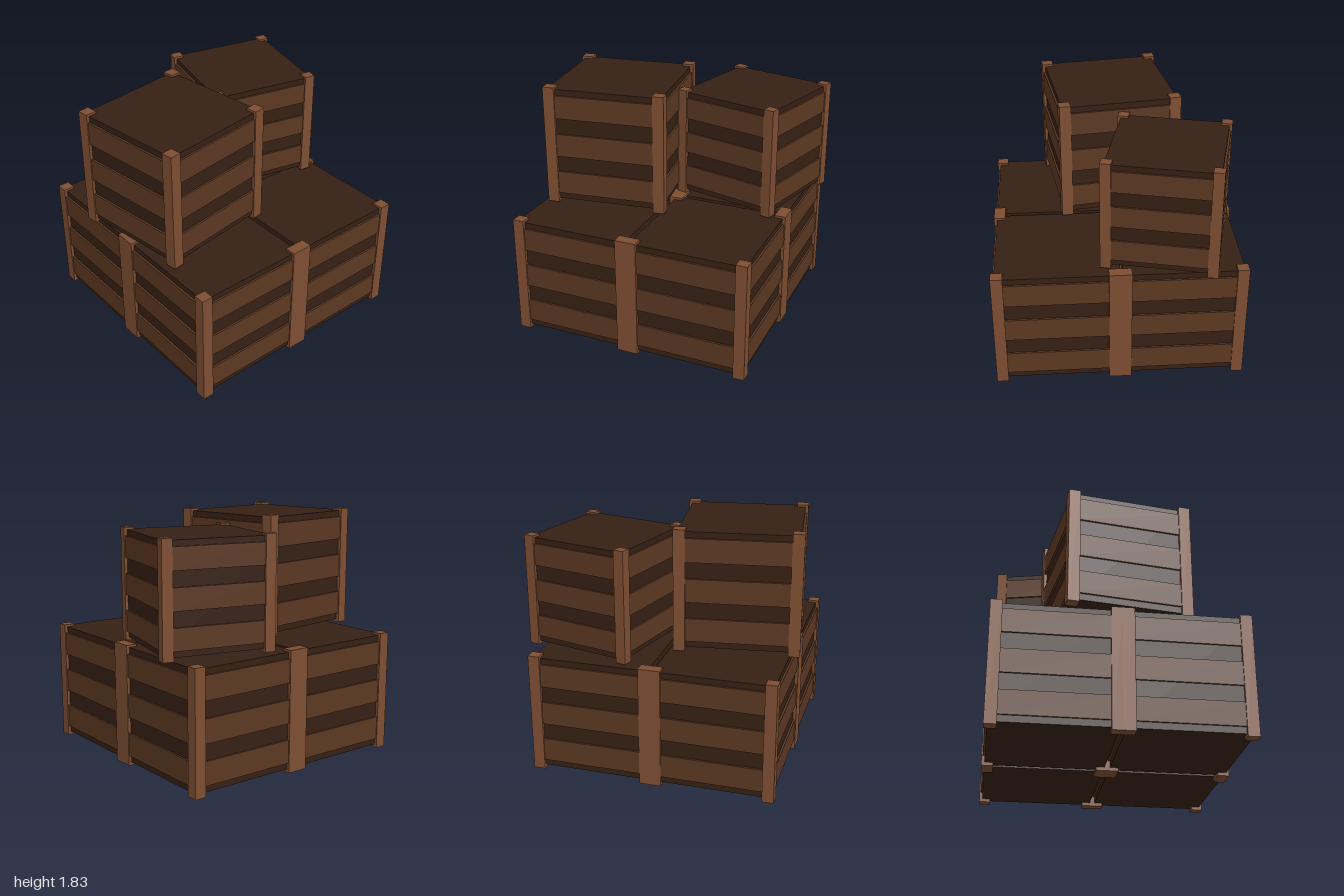
import * as THREE from 'three';

const postMat = new THREE.MeshStandardMaterial({ color: 0x7e4e32 });
const plankMat = new THREE.MeshStandardMaterial({ color: 0x5c3822 });
const bodyMat = new THREE.MeshStandardMaterial({ color: 0x362014 });

const HEIGHT = 0.917;
const POST = 0.0865;
const POST_OFFSET = 0.42;

function addBox(parent, name, mat, size, pos) {
  const mesh = new THREE.Mesh(new THREE.BoxGeometry(...size), mat);
  mesh.name = name;
  mesh.position.set(...pos);
  parent.add(mesh);
}

// One crate standing on y = 0, centred on its own axis
function makeCrate(name) {
  const crate = new THREE.Group();
  crate.name = name;

  // Dark inner box
  addBox(crate, 'crateBody', bodyMat, [0.88, 0.875, 0.88], [0, 0.4625, 0]);

  // Corner posts
  for (const sx of [-1, 1]) {
    for (const sz of [-1, 1]) {
      addBox(crate, 'cornerPost', postMat, [POST, HEIGHT, POST],
        [sx * POST_OFFSET, HEIGHT / 2, sz * POST_OFFSET]);
    }
  }

  // Three planks on each of the four sides
  for (let i = 0; i < 4; i++) {
    const side = new THREE.Group();
    side.name = 'plankSide';
    side.rotation.y = i * Math.PI / 2;
    for (const y of [0.163, 0.464, 0.765]) {
      addBox(side, 'plank', plankMat, [0.8, 0.177, 0.03], [0, y, 0.44]);
    }
    crate.add(side);
  }
  return crate;
}

export function createModel() {
  const model = new THREE.Group();
  model.name = 'crateStack';

  // name, x, y, z, turn, scale
  const crates = [
    ['lowerCrateFrontRight', -0.478, 0, 0.46, 0, 1],
    ['lowerCrateFrontLeft', 0.438, 0, 0.46, 0, 1],
    ['lowerCrateBackRight', -0.478, 0, -0.46, 0, 1],
    ['lowerCrateBackLeft', 0.438, 0, -0.46, 0, 1],
    ['upperLargeCrate', -0.475, HEIGHT, -0.003, 0.139, 1],
    ['upperSmallCrate', 0.479, HEIGHT, -0.367, -0.237, 0.912],
  ];
  for (const [name, x, y, z, turn, scale] of crates) {
    const crate = makeCrate(name);
    crate.position.set(x, y, z);
    crate.rotation.y = turn;
    crate.scale.setScalar(scale);
    model.add(crate);
  }
  return model;
}
